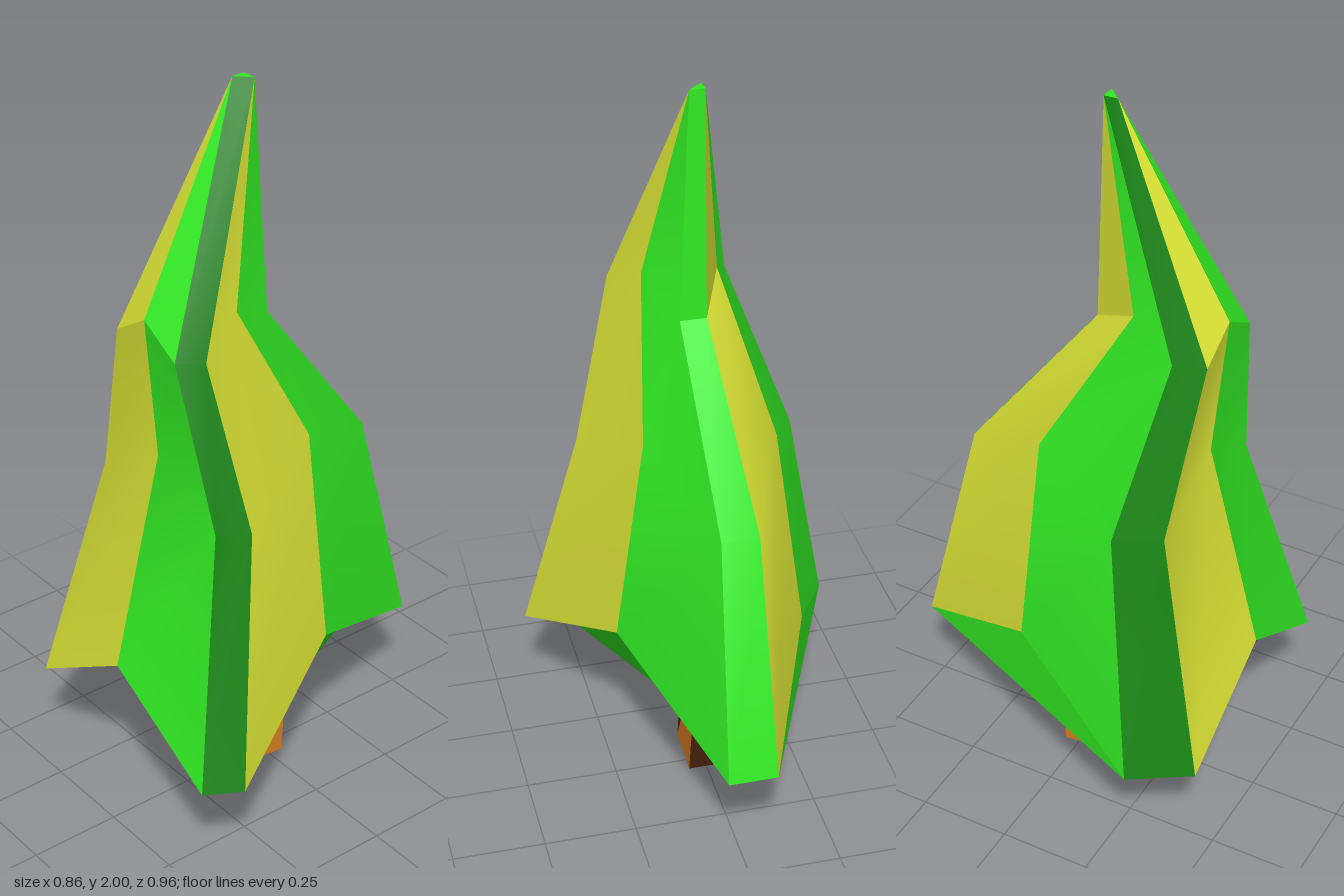
import * as THREE from 'three';
import { toCreasedNormals } from 'three/addons/utils/BufferGeometryUtils.js';

const material = (color) => new THREE.MeshStandardMaterial({ color });

// Mesh from a list of triangles (three [x, y, z] corners each); only gentle bends are smoothed
function facets(name, triangles, mat) {
  const geometry = new THREE.BufferGeometry();
  geometry.setAttribute('position', new THREE.Float32BufferAttribute(triangles.flat(2), 3));
  const mesh = new THREE.Mesh(toCreasedNormals(geometry, Math.PI / 6), mat);
  mesh.name = name;
  return mesh;
}

// One ring of the crown: three blunt corners at height y, three valleys at height v.
// Order: left corner, front valley, right corner, right valley, back corner, left valley.
function ring(y, v, plan) {
  return plan.map(([x, z], i) => [x, i % 3 === 2 ? v : y, z]);
}

export function createModel() {
  const tree = new THREE.Group();
  tree.name = 'tree';
  const green = material(0x32ea24);
  const darkGreen = material(0x14820f);
  const yellow = material(0xdce636);
  const wood = material(0xd67c22);
  const darkWood = material(0x42220c);

  // Crown: stacked three-lobed rings narrowing to a small triangular tip
  const A = [-0.015, 0.033], B = [0.025, 0.033], C = [-0.013, 0.07];
  const rings = [
    ring(0.295, 0.497, [[-0.43, 0.325], [-0.33, 0.48], [0.015, 0.48], [0.37, 0.48], [0.425, 0.385],
      [0.245, -0.03], [0.052, -0.48], [-0.08, -0.48], [-0.255, -0.08]]),
    ring(0.94, 1.07, [[-0.295, 0.21], [-0.23, 0.325], [0.01, 0.33], [0.235, 0.325], [0.285, 0.25],
      [0.165, -0.03], [0.035, -0.325], [-0.065, -0.325], [-0.18, -0.06]]),
    ring(1.39, 1.46, [[-0.13, 0.285], [-0.1, 0.365], [0.015, 0.365], [0.135, 0.365], [0.18, 0.305],
      [0.12, 0.165], [0.055, 0.018], [-0.015, 0.018], [-0.075, 0.15]]),
    ring(2, 2, [A, C, C, C, B, B, B, A, A]),
  ];
  const greenTris = [], yellowTris = [], tipTris = [];
  for (let r = 0; r < 3; r++) {
    for (let i = 0; i < 9; i++) {
      const j = (i + 1) % 9;
      const [a, b, c, d] = [rings[r][i], rings[r][j], rings[r + 1][j], rings[r + 1][i]];
      // One side of each lobe is yellow; the left and right lobes have dark blunt edges
      let target = greenTris;
      if (i % 3 === 1) target = yellowTris;
      else if (i === 0 || i === 3) target = tipTris;
      target.push([a, b, c]);
      if (String(c) !== String(d)) target.push([a, c, d]);
    }
  }
  greenTris.push([rings[3][0], rings[3][1], rings[3][4]]);

  const crown = new THREE.Group();
  crown.name = 'crown';
  crown.add(
    facets('greenFoliage', greenTris, green),
    facets('yellowFoliage', yellowTris, yellow),
    facets('darkLobeEdges', tipTris, darkGreen),
  );

  // Underside: open arch at the front, upright gable on the left, inset sloping gable on the right
  const under = [
    [7, 0, 8], [7, 1, 0], [7, 2, 1], [7, 3, 2], // back corner to left lobe and front arch
    [3, 5, 4], [7, 5, 3], [7, 6, 5], // right gable
  ].map((t) => t.map((i) => rings[0][i]));
  crown.add(facets('crownUnderside', under, green));
  tree.add(crown);

  // Trunk: leaning four-sided post; corners run front left, front right, back right, back left
  const foot = [[-0.09, 0.015, 0.1], [0.05, 0.015, 0.1], [0.05, 0, -0.04], [-0.09, 0, -0.04]];
  const head = [[-0.085, 0.46, 0.055], [0.035, 0.46, 0.055], [0.035, 0.46, -0.085], [-0.085, 0.46, -0.085]];
  const light = [], dark = [];
  for (let i = 0; i < 4; i++) {
    const j = (i + 1) % 4;
    (i % 2 ? light : dark).push([foot[i], foot[j], head[j]]);
    (i === 0 || i === 3 ? light : dark).push([foot[i], head[j], head[i]]);
  }
  for (const [a, b, c, d] of [[...foot].reverse(), head]) light.push([a, b, c], [a, c, d]);
  const trunk = new THREE.Group();
  trunk.name = 'trunk';
  trunk.add(facets('lightBark', light, wood), facets('darkBark', dark, darkWood));
  tree.add(trunk);

  return tree;
}
